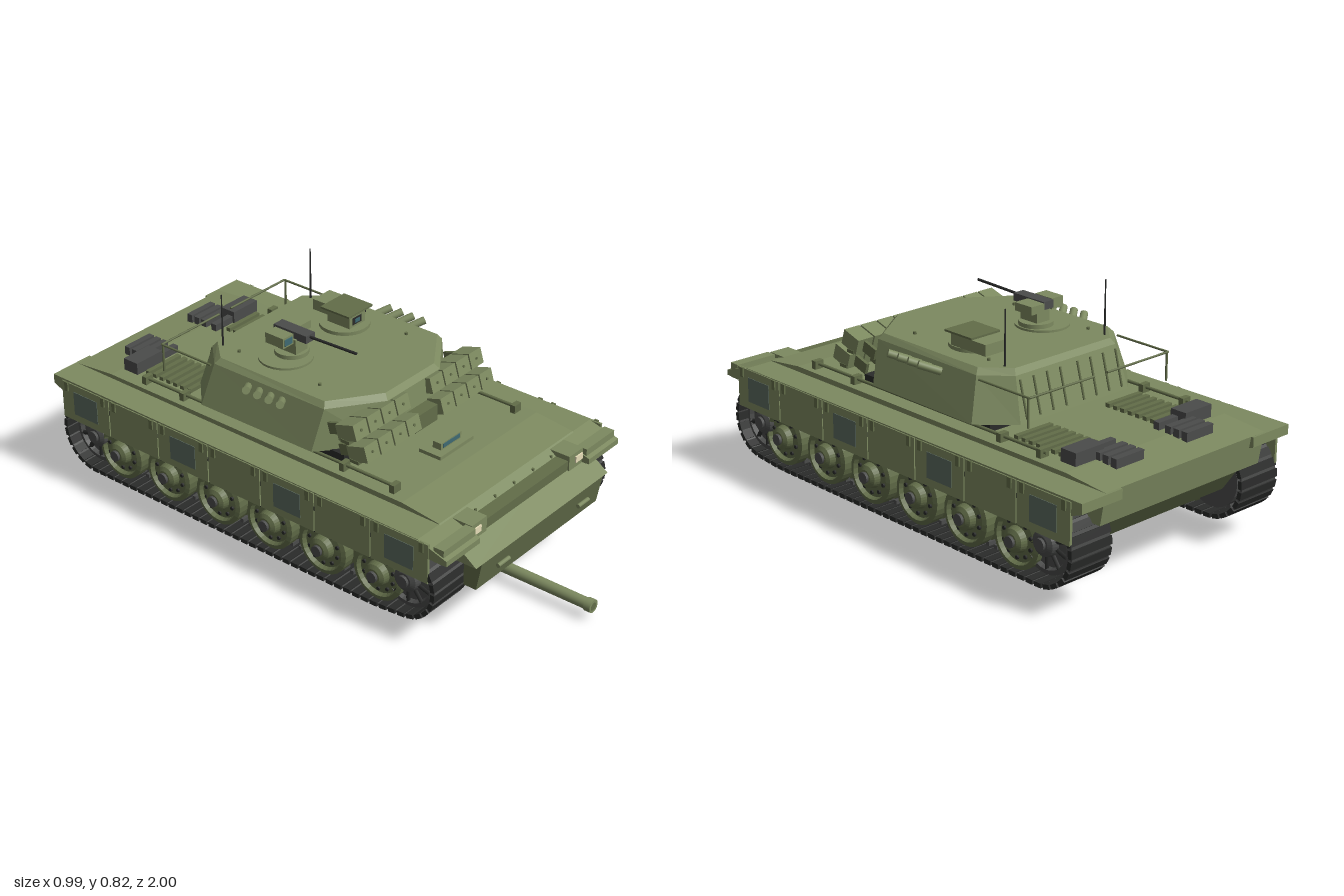
import * as THREE from 'three';

const mat = (color, extra = {}) => new THREE.MeshStandardMaterial({ color, ...extra });
const GREEN = mat(0x7d8a60), OLIVE = mat(0x626d49), RUBBER = mat(0x2a2b2a), STEEL = mat(0x4b4c4b);
const GLASS = mat(0x3f6a72), LAMP = mat(0xe6dcb8), PATCH = mat(0x5c6b60);

export function createModel() {
  const root = new THREE.Group();
  const add = (name, geo, m = GREEN, parent = root) => {
    const mesh = new THREE.Mesh(geo, m);
    mesh.name = name;
    parent.add(mesh);
    return mesh;
  };
  const group = (name, parent = root) => {
    const g = new THREE.Group();
    g.name = name;
    parent.add(g);
    return g;
  };
  // Box given by its min/max on each axis
  const box = (name, [x0, x1], [y0, y1], [z0, z1], m, parent) => {
    const mesh = add(name, new THREE.BoxGeometry(x1 - x0, y1 - y0, z1 - z0), m, parent);
    mesh.position.set((x0 + x1) / 2, (y0 + y1) / 2, (z0 + z1) / 2);
    return mesh;
  };
  // Straight round bar between two points
  const bar = (name, a, b, r, m, parent, sides = 8, r2 = r) => {
    const p = new THREE.Vector3(...a), q = new THREE.Vector3(...b), d = q.clone().sub(p);
    const mesh = add(name, new THREE.CylinderGeometry(r2, r, d.length(), sides), m, parent);
    mesh.position.copy(p).add(q).multiplyScalar(0.5);
    mesh.quaternion.setFromUnitVectors(new THREE.Vector3(0, 1, 0), d.normalize());
    return mesh;
  };
  // Side profile of [z, y] points, extruded from x0 to x1
  const slab = (name, pts, x0, x1, m, parent) => {
    const shape = new THREE.Shape(pts.map(p => new THREE.Vector2(...p)));
    const g = new THREE.ExtrudeGeometry(shape, { depth: x1 - x0, bevelEnabled: false });
    g.rotateY(-Math.PI / 2).translate(x1, 0, 0);
    return add(name, g, m, parent);
  };
  // Stack of mirrored outlines: each ring is { y, half: [x, z] from back to front }
  const loft = rings => {
    const loops = rings.map(({ y, half }) => [...half.map(([x, z]) => [x, y, z]),
      ...half.slice().reverse().map(([x, z]) => [-x, y, z])]);
    const pos = [], n = loops[0].length, tri = (...v) => v.forEach(p => pos.push(...p));
    for (let k = 0; k + 1 < loops.length; k++) for (let i = 0; i < n; i++) {
      const j = (i + 1) % n, a = loops[k], b = loops[k + 1];
      tri(a[i], b[i], b[j]);
      tri(a[i], b[j], a[j]);
    }
    const lo = loops[0], hi = loops.at(-1);
    for (let i = 1; i + 1 < n; i++) {
      tri(hi[0], hi[i + 1], hi[i]);
      tri(lo[0], lo[i], lo[i + 1]);
    }
    const g = new THREE.BufferGeometry();
    g.setAttribute('position', new THREE.Float32BufferAttribute(pos, 3));
    g.computeVertexNormals();
    return g;
  };
  const along = (from, to, n) => Array.from({ length: n }, (_, i) => from + (to - from) * i / (n - 1));

  // Hull
  const hull = group('hull');
  slab('lowerHull', [[0.72, 0.2], [0.72, 0.39], [-0.95, 0.39], [-0.95, 0.3], [-0.88, 0.2]], -0.305, 0.305, OLIVE, hull);
  slab('nosePlate', [[0.77, 0.2], [0.79, 0.305], [0.72, 0.33], [0.72, 0.2]], -0.34, 0.34, OLIVE, hull);
  slab('upperHull', [[0.79, 0.305], [0.64, 0.412], [0.49, 0.43], [-0.82, 0.43], [-0.99, 0.415], [-0.97, 0.3],
    [-0.9, 0.3], [-0.9, 0.36], [0.7, 0.36], [0.7, 0.305]], -0.37, 0.37, GREEN, hull);
  box('turretRing', [-0.31, 0.31], [0.43, 0.465], [-0.42, 0.2], RUBBER, hull);
  box('hatchPlate', [-0.09, 0.09], [0.43, 0.443], [0.34, 0.43], GREEN, hull);
  box('driverPeriscope', [-0.055, 0.055], [0.443, 0.468], [0.37, 0.405], GREEN, hull);
  box('periscopeGlass', [-0.045, 0.045], [0.449, 0.464], [0.405, 0.407], GLASS, hull);
  for (const x of along(-0.21, 0.21, 5)) {
    add('glacisBolt', new THREE.CylinderGeometry(0.005, 0.005, 0.01, 8), OLIVE, hull).position.set(x, 0.395, 0.665);
  }

  const track = new THREE.Shape();
  track.absarc(0.58, 0.222, 0.125, Math.PI / 2, -0.46 * Math.PI, true);
  track.absarc(0.465, 0.195, 0.108, -0.46 * Math.PI, -Math.PI / 2, true);
  track.absarc(-0.7, 0.195, 0.108, -Math.PI / 2, -0.52 * Math.PI, true);
  track.absarc(-0.82, 0.222, 0.135, -0.52 * Math.PI, -1.5 * Math.PI, true);
  track.closePath();
  const pads = track.getSpacedPoints(96);
  const padGeo = new THREE.BoxGeometry(0.178, 0.016, 0.028);
  const guideGeo = new THREE.BoxGeometry(0.03, 0.02, 0.014);

  const wheel = (name, parent, x, y, z, r, m, spokes) => {
    const g = group(name, parent);
    g.position.set(x, y, z);
    const profile = [[0, -0.07], [r, -0.07], [r, -0.015], [r * 0.75, -0.015], [r * 0.75, 0.015], [r, 0.015], [r, 0.055],
      [r * 0.84, 0.06], [r * 0.78, 0.045], [r * 0.45, 0.05], [r * 0.4, 0.072], [r * 0.26, 0.08], [0, 0.08]];
    const geo = new THREE.LatheGeometry(profile.map(p => new THREE.Vector2(...p)), 28).toNonIndexed();
    geo.computeVertexNormals();
    add('disc', geo.rotateZ(-Math.PI / 2), m, g);
    bar('hubCap', [0.078, 0, 0], [0.09, 0, 0], r * 0.2, STEEL, g, 12);
    for (let i = 0; i < 10; i++) {
      const a = i * Math.PI / 5, c = Math.cos(a), s = Math.sin(a);
      if (spokes) bar('spoke', [0.052, c * r * 0.35, s * r * 0.35], [0.052, c * r * 0.85, s * r * 0.85], 0.009, RUBBER, g, 4);
      else bar('bolt', [0.045, c * r * 0.62, s * r * 0.62], [0.054, c * r * 0.62, s * r * 0.62], 0.007, RUBBER, g, 6);
    }
    return g;
  };

  // Everything repeated on both sides
  for (const s of [1, -1]) {
    const side = group(s > 0 ? 'leftSide' : 'rightSide');
    const span = (a, b) => s > 0 ? [a, b] : [-b, -a];
    slab('fender', [[0.755, 0.355], [0.755, 0.375], [0.64, 0.41], [-1, 0.415], [-1, 0.38], [-0.95, 0.36]],
      ...span(0.305, 0.48), GREEN, side);
    box('fenderLip', span(0.31, 0.475), [0.35, 0.405], [0.7, 0.74], GREEN, side);
    box('lampHousing', span(0.23, 0.31), [0.345, 0.408], [0.64, 0.725], GREEN, side);
    box('headlamp', span(0.264, 0.304), [0.37, 0.393], [0.725, 0.73], LAMP, side);
    bar('towHandle', [s * 0.195, 0.258, 0.792], [s * 0.255, 0.258, 0.792], 0.008, GREEN, side);

    // Skirt panels with patches on every other one
    for (let i = 0; i < 7; i++) {
      const z = 0.57 - i * 0.235;
      box('skirtPanel', span(0.474, 0.484), [0.262, 0.408], [z - 0.115, z + 0.115], GREEN, side);
      if (i % 2 === 0) box('skirtPatch', span(0.484, 0.486), [0.29, 0.38], [z - 0.058, z + 0.058], PATCH, side);
      for (const d of [-0.09, 0.09]) box('skirtHinge', span(0.482, 0.49), [0.375, 0.41], [z + d - 0.008, z + d + 0.008], OLIVE, side);
    }

    // Running gear
    for (let i = 0; i < 6; i++) {
      wheel('roadWheel', side, s * 0.405, 0.195, 0.465 - i * 0.233, 0.1, OLIVE, false).rotation.y = s > 0 ? 0 : Math.PI;
    }
    for (const [name, z] of [['idler', 0.58], ['sprocket', -0.82]]) {
      wheel(name, side, s * 0.392, 0.222, z, 0.108, STEEL, true).rotation.y = s > 0 ? 0 : Math.PI;
    }
    const belt = group('track', side);
    pads.slice(0, -1).forEach((p, i) => {
      const q = pads[i + 1], a = Math.atan2(q.y - p.y, q.x - p.x);
      const link = group('trackLink', belt);
      link.position.set(s * 0.393, (p.y + q.y) / 2, (p.x + q.x) / 2);
      link.rotation.x = -a;
      add('pad', padGeo, RUBBER, link);
      add('guide', guideGeo, STEEL, link).position.y = -0.012;
      box('hinge', [-0.084, 0.084], [-0.004, 0.004], [0.012, 0.026], STEEL, link);
    });

    // Deck rods, grilles and stowage
    bar('deckRod', [s * 0.33, 0.448, 0.44], [s * 0.33, 0.448, -0.7], 0.006, OLIVE, side);
    for (const z of [0.43, 0.22, -0.5, -0.68]) box('rodClamp', span(0.312, 0.348), [0.428, 0.46], [z - 0.01, z + 0.01], OLIVE, side);
    for (const z of along(-0.72, -0.52, 7)) box('engineSlat', span(0.13, 0.29), [0.43, 0.444], [z - 0.009, z + 0.009], OLIVE, side);
    box('stowageBox', span(0.19, 0.315), [0.43, 0.475], [-0.81, -0.745], STEEL, side);
    for (const z of [-0.885, -0.85, -0.815, -0.765]) box('exhaustSlat', span(0.1, 0.225), [0.42, 0.456], [z - 0.012, z + 0.012], STEEL, side);
  }

  // Turret
  const turret = group('turret');
  add('turretShell', loft([
    { y: 0.462, half: [[0.25, -0.5], [0.362, -0.39], [0.358, 0.1], [0.17, 0.262]] },
    { y: 0.612, half: [[0.23, -0.455], [0.318, -0.365], [0.315, 0.12], [0.14, 0.245]] },
    { y: 0.632, half: [[0.22, -0.44], [0.3, -0.352], [0.3, 0.11], [0.13, 0.228]] },
  ]), GREEN, turret);
  box('mantletSocket', [-0.06, 0.06], [0.47, 0.53], [0.2, 0.3], OLIVE, turret);
  for (const s of [1, -1]) {
    const x0 = 0.0925;
    // Two rows of tilted armour blocks on brackets
    for (let c = 0; c < 4; c++) for (const [y, z] of [[0.578, 0.235], [0.515, 0.282]]) {
      const g = group('armourBlock', turret);
      g.position.set(s * (x0 + c * 0.0725), y, z);
      g.rotation.x = -0.3;
      add('block', new THREE.BoxGeometry(0.066, 0.056, 0.078), GREEN, g);
      bar('blockBolt', [0, 0, 0.038], [0, 0, 0.043], 0.005, OLIVE, g, 6);
      box('bracket', [-0.006, 0.006], [-0.02, 0.02], [-0.1, -0.03], OLIVE, g);
    }
    for (const [y, z] of [[0.545, 0.235], [0.484, 0.275]]) box('blockRail', s > 0 ? [0.06, 0.345] : [-0.345, -0.06], [y - 0.006, y + 0.006], [z - 0.02, z + 0.015], OLIVE, turret);
    // Smoke dischargers
    for (const z of [-0.18, -0.13, -0.08, -0.03]) {
      bar('smokeTube', [s * 0.325, 0.585, z - 0.025], [s * 0.385, 0.612, z + 0.02], 0.014, GREEN, turret, 12);
    }
    bar('antenna', [s * 0.23, 0.62, -0.405], [s * 0.23, 0.825, -0.405], 0.004, RUBBER, turret, 6, 0.002);
    // Rear basket rails
    bar('basketArm', [s * 0.32, 0.602, -0.38], [s * 0.32, 0.602, -0.61], 0.004, OLIVE, turret);
    bar('basketRail', [s * 0.32, 0.602, -0.61], [s * 0.03, 0.602, -0.61], 0.004, OLIVE, turret);
    bar('basketPost', [s * 0.32, 0.602, -0.605], [s * 0.32, 0.5, -0.605], 0.004, OLIVE, turret);
    for (const x of [0.04, 0.1, 0.16, 0.22]) bar('rearRib', [s * x, 0.475, -0.5], [s * x, 0.6, -0.465], 0.004, OLIVE, turret);
    for (const z of [-0.33, 0.03]) add('roofBolt', new THREE.CylinderGeometry(0.006, 0.006, 0.012, 8), OLIVE, turret).position.set(s * 0.23, 0.634, z);
  }
  bar('leftHatch', [0.155, 0.628, -0.185], [0.155, 0.645, -0.185], 0.09, GREEN, turret, 28);
  bar('rightHatch', [-0.155, 0.628, -0.185], [-0.155, 0.64, -0.185], 0.095, GREEN, turret, 28);
  bar('stationBase', [-0.125, 0.64, -0.185], [-0.125, 0.655, -0.185], 0.06, GREEN, turret, 24);

  // Commander sight
  box('sightBody', [0.115, 0.2], [0.645, 0.688], [-0.23, -0.13], GREEN, turret);
  box('sightRear', [0.15, 0.24], [0.645, 0.685], [-0.325, -0.16], GREEN, turret);
  box('sightHood', [0.113, 0.242], [0.685, 0.692], [-0.26, -0.13], OLIVE, turret);
  for (const [x, z] of [[0.155, -0.128], [0.214, -0.158]]) {
    box('sightLens', [x - 0.024, x + 0.024], [0.654, 0.68], [z - 0.003, z], RUBBER, turret);
    box('lensGlass', [x - 0.013, x + 0.013], [0.66, 0.674], [z, z + 0.002], GLASS, turret);
  }

  // Remote gun station
  box('stationPedestal', [-0.155, -0.095], [0.65, 0.71], [-0.22, -0.14], GREEN, turret);
  box('stationSight', [-0.207, -0.155], [0.695, 0.733], [-0.23, -0.15], GREEN, turret);
  box('stationLens', [-0.2, -0.162], [0.702, 0.726], [-0.15, -0.147], GLASS, turret);
  box('ammoBox', [-0.1, -0.04], [0.703, 0.732], [-0.25, -0.17], GREEN, turret);
  box('machineGun', [-0.147, -0.102], [0.707, 0.735], [-0.245, -0.1], STEEL, turret);
  bar('machineGunBarrel', [-0.125, 0.725, -0.1], [-0.125, 0.731, 0.1], 0.005, RUBBER, turret);

  // Main gun lying beneath the hull
  const gun = group('mainGun');
  for (const [name, z0, z1, r0, r1, m] of [
    ['muzzle', 0.975, 1, 0.024, 0.024, GREEN], ['barrel', 0.5, 0.985, 0.021, 0.02, GREEN],
    ['fumeExtractor', 0.33, 0.52, 0.028, 0.028, GREEN], ['rearBarrel', -0.04, 0.34, 0.024, 0.023, GREEN],
    ['mantletBoot', -0.13, -0.035, 0.053, 0.036, RUBBER]]) {
    bar(name, [0, 0.053, z0], [0, 0.053, z1], r0, m, gun, 24, r1);
  }
  bar('bore', [0, 0.053, 0.99], [0, 0.053, 1.0005], 0.014, OLIVE, gun, 20);

  return root;
}
